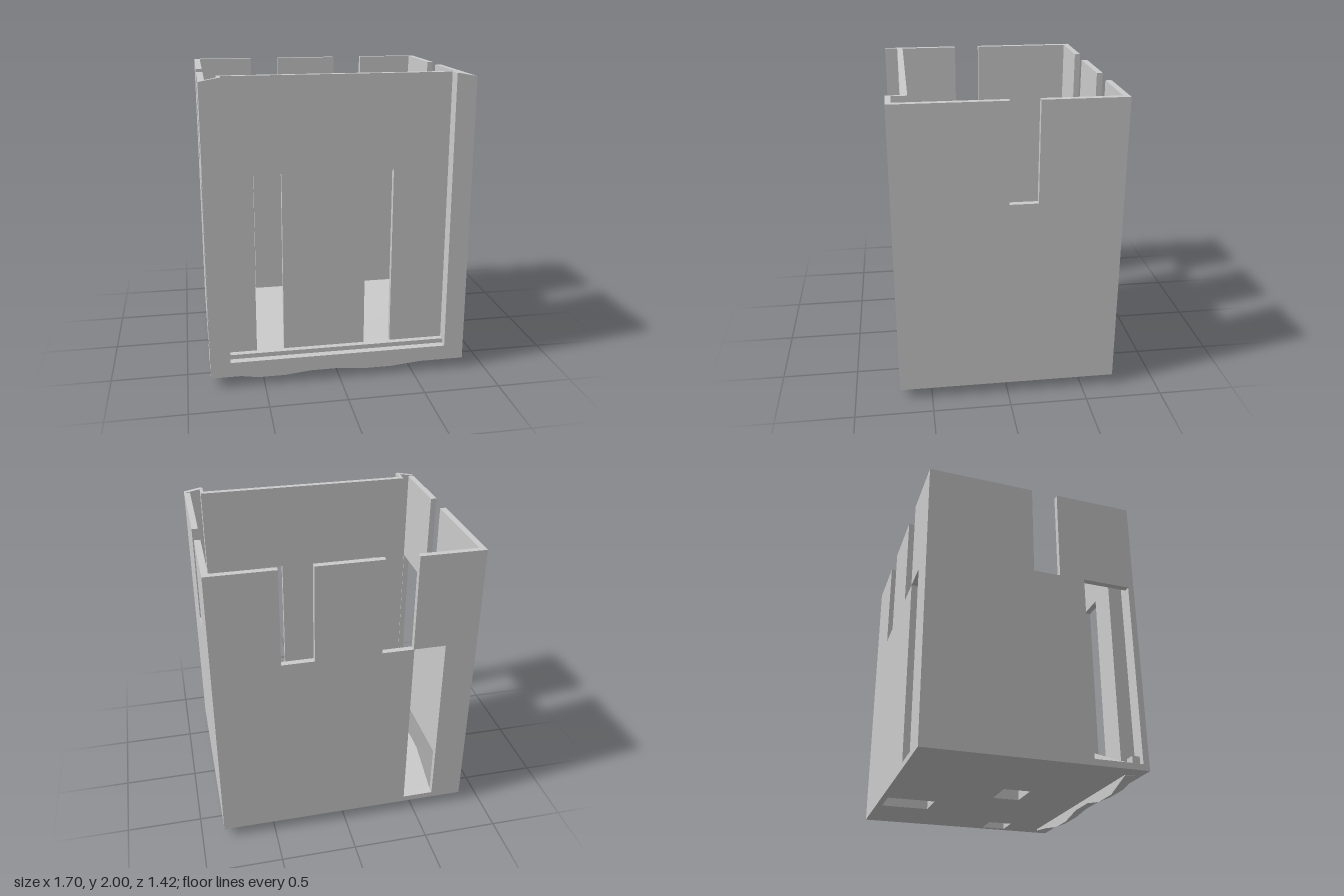
import * as THREE from 'three';

const material = new THREE.MeshStandardMaterial({ color: 0xcccccc, flatShading: true, side: THREE.DoubleSide });

function addMesh(parent, name, geometry) {
  const mesh = new THREE.Mesh(geometry, material);
  mesh.name = name;
  parent.add(mesh);
  return mesh;
}

// Box given by its two opposite corners
function block(parent, name, x0, x1, y0, y1, z0, z1) {
  const mesh = addMesh(parent, name, new THREE.BoxGeometry(x1 - x0, y1 - y0, z1 - z0));
  mesh.position.set((x0 + x1) / 2, (y0 + y1) / 2, (z0 + z1) / 2);
  return mesh;
}

// Upright panel with open-topped notches [u0, u1, bottom] and windows [u0, u1, bottom, top]
function panel(parent, name, u0, u1, y0, y1, depth, notches, windows) {
  const points = [[u0, y0], [u1, y0], [u1, y1]];
  for (const [a, b, y] of notches) points.push([b, y1], [b, y], [a, y], [a, y1]);
  points.push([u0, y1]);
  const shape = new THREE.Shape(points.map(([u, y]) => new THREE.Vector2(u, y)));
  for (const [a, b, c, d] of windows) {
    shape.holes.push(new THREE.Path([[a, c], [a, d], [b, d], [b, c]].map(([u, y]) => new THREE.Vector2(u, y))));
  }
  return addMesh(parent, name, new THREE.ExtrudeGeometry(shape, { depth, bevelEnabled: false }));
}

export function createModel() {
  const model = new THREE.Group();
  model.name = 'openBoxHousing';
  const base = 0.07, top = 1.98, slot = 1.34, sill = 0.11, t = 0.04;

  // Back wall: two notches (listed from +x to -x) and a tall window
  const back = panel(model, 'backWall', -0.85, 0.85, base, top, t,
    [[0.21, 0.42, slot], [-0.427, -0.22, slot]], [[-0.64, -0.431, sill, slot]]);
  back.position.z = -0.71;

  // Side walls: panel's u axis runs along +z
  const right = panel(model, 'rightHandWall', -0.67, 0.71, base, top, t, [[-0.18, 0, slot]], []);
  right.position.x = 0.85;
  const left = panel(model, 'leftHandWall', -0.67, 0.71, base, top, t, [[0, 0.18, slot]], [[0.35, 0.67, sill, slot]]);
  left.position.x = -0.81;
  for (const wall of [right, left]) wall.rotation.y = -Math.PI / 2;

  // Floor: raised flat centre, sloping down to the walls, with three missing cells
  const floor = new THREE.Group();
  floor.name = 'floor';
  model.add(floor);
  const xs = [-0.81, -0.64, -0.22, 0, 0.21, 0.42, 0.64, 0.81];
  const zs = [-0.67, -0.35, 0, 0.18, 0.35, 0.67];
  const holes = ['4,0', '2,2', '6,3'];
  for (let i = 0; i < xs.length - 1; i++) {
    for (let j = 0; j < zs.length - 1; j++) {
      if (holes.includes(`${i},${j}`)) continue;
      const g = new THREE.BoxGeometry(1, 1, 1);
      const p = g.attributes.position;
      for (let k = 0; k < p.count; k++) {
        const x = p.getX(k) < 0 ? xs[i] : xs[i + 1];
        const z = p.getZ(k) < 0 ? zs[j] : zs[j + 1];
        const edge = Math.abs(x) > 0.7 || Math.abs(z) > 0.5;
        p.setXYZ(k, x, p.getY(k) < 0 ? base : edge ? sill : 0.24, z);
      }
      g.computeVertexNormals();
      addMesh(floor, 'floorCell', g);
    }
  }

  // Recessed front panel with two tall windows
  const front = panel(model, 'frontPanel', -0.74, 0.74, base, 2, t, [],
    [[-0.54, -0.36, 0.2, 1.39], [0.18, 0.36, 0.2, 1.39]]);
  front.position.z = 0.58;

  // Frame around the recess: corner strips with returns, lower rail and ledge
  for (const s of [-1, 1]) {
    const strip = new THREE.Shape([[0.72, base], [0.85, base], [0.85, top], [0.74, 2], [0.72, 2]]
      .map(([x, y]) => new THREE.Vector2(s * x, y)));
    const mesh = addMesh(model, 'frontCornerStrip', new THREE.ExtrudeGeometry(strip, { depth: 0.035, bevelEnabled: false }));
    mesh.position.z = 0.675;
    block(model, 'recessSide', s * 0.73 - 0.01, s * 0.73 + 0.01, base, 2, 0.58, 0.7);
  }
  block(model, 'frontRail', -0.81, 0.81, base, 0.17, 0.62, 0.71);
  block(model, 'frontLedge', -0.72, 0.72, 0.17, 0.2, 0.62, 0.66);

  // Wavy lip under the front edge, slanting up toward the front
  const lip = new THREE.Shape([[-0.74, 0.072], [-0.74, 0.066], [-0.54, 0], [-0.36, 0], [-0.19, 0.035], [0, 0.035],
    [0.18, 0], [0.36, 0], [0.55, 0.035], [0.74, 0.06], [0.74, 0.072]].map(([x, y]) => new THREE.Vector2(x, y)));
  const lipGeometry = new THREE.ExtrudeGeometry(lip, { depth: 0.08, bevelEnabled: false });
  const p = lipGeometry.attributes.position;
  for (let k = 0; k < p.count; k++) {
    if (p.getZ(k) > 0.04) p.setY(k, 0.035 + p.getY(k) * 0.5);
  }
  lipGeometry.computeVertexNormals();
  addMesh(model, 'bottomLip', lipGeometry).position.z = 0.6;

  return model;
}
